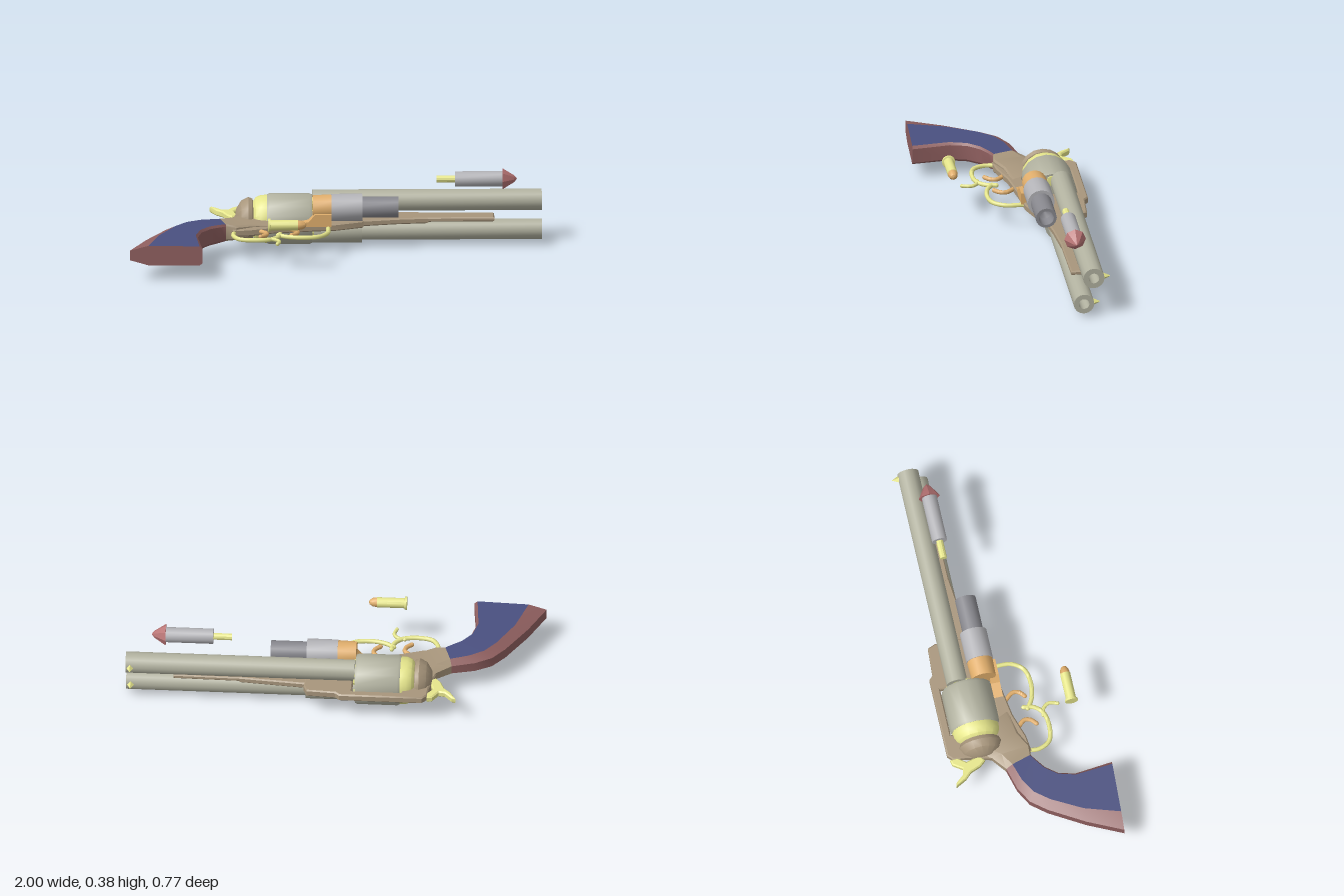
import * as THREE from 'three';
import { toCreasedNormals } from 'three/addons/utils/BufferGeometryUtils.js';

const Y = 0.127; // mid-plane of the weapon, which lies on its side
const C = {
  steel: 0xb2b2a0, brass: 0xe6e68c, copper: 0xe0ae6c, frame: 0xa8967c, wood: 0x8f5f5f,
  panel: 0x4a5080, grey: 0xb4b4b8, dark: 0x88888e, red: 0xb87474
};
const V = (x, z, y = Y) => new THREE.Vector3(x, y, z);

export function createModel() {
  const root = new THREE.Group();

  function add(name, geo, color, crease = 0.6) {
    const mat = new THREE.MeshStandardMaterial({ color, side: THREE.DoubleSide });
    const mesh = new THREE.Mesh(toCreasedNormals(geo, crease), mat);
    mesh.name = name;
    root.add(mesh);
    return mesh;
  }

  // Turned part along x: profile holds [x, radius] pairs
  function turned(name, profile, y, z, color, sides = 16) {
    const geo = new THREE.LatheGeometry(profile.map(([x, r]) => new THREE.Vector2(r, x)), sides);
    geo.rotateZ(-Math.PI / 2);
    geo.translate(0, y, z);
    return add(name, geo, color);
  }

  // Flat part outlined in x/z, thickened about height y
  function plate(name, pts, thick, color, y = Y, holes = []) {
    const shape = new THREE.Shape(pts.map(p => new THREE.Vector2(...p)));
    for (const h of holes) shape.holes.push(new THREE.Path(h.map(p => new THREE.Vector2(...p))));
    const bevel = Math.min(0.006, thick / 4);
    const geo = new THREE.ExtrudeGeometry(shape, {
      depth: thick - 2 * bevel, bevelThickness: bevel, bevelSize: bevel,
      bevelOffset: -bevel, bevelSegments: 1
    });
    geo.rotateX(Math.PI / 2);
    geo.translate(0, y + thick / 2 - bevel, 0);
    return add(name, geo, color);
  }

  function rod(name, pts, radius, color) {
    const curve = new THREE.CatmullRomCurve3(pts.map(p => V(...p)));
    const geo = new THREE.TubeGeometry(curve, pts.length * 5, radius, 8);
    const mesh = add(name, geo, color, 1);
    for (const p of [pts[0], pts[pts.length - 1]]) {
      const cap = new THREE.SphereGeometry(radius, 8, 6);
      cap.translate(p[0], Y, p[1]);
      add(name + 'End', cap, color, 1);
    }
    return mesh;
  }

  // Loft through sections [backX, backZ, frontX, frontZ, halfThickness]
  const ring = [[0, 0.5], [0.25, 1], [0.96, 1], [1, 0.75], [1, -0.75], [0.96, -1], [0.25, -1], [0, -0.5]];
  function loft(name, rows, strips, color, capped) {
    const pos = [];
    const at = (i, j) => {
      const [bx, bz, fx, fz, h] = rows[i], [t, k] = ring[j % 8];
      return [bx + (fx - bx) * t, Y + k * h, bz + (fz - bz) * t];
    };
    for (let i = 0; i < rows.length - 1; i++) for (const j of strips) {
      const a = at(i, j), b = at(i, j + 1), c = at(i + 1, j + 1), d = at(i + 1, j);
      pos.push(...a, ...b, ...c, ...a, ...c, ...d);
    }
    if (capped) for (let j = 1; j < 7; j++) pos.push(...at(0, 0), ...at(0, j + 1), ...at(0, j));
    const geo = new THREE.BufferGeometry();
    geo.setAttribute('position', new THREE.Float32BufferAttribute(pos, 3));
    geo.computeVertexNormals();
    return add(name, geo, color, 0.5);
  }

  // Grip with coloured side panels, and the neck that carries it into the frame
  const gripRows = [
    [-1, 0.37, -0.65, 0.385, 0.049], [-0.92, 0.2, -0.67, 0.2, 0.049],
    [-0.82, 0.03, -0.65, 0.12, 0.049], [-0.76, -0.045, -0.605, 0.062, 0.048],
    [-0.68, -0.09, -0.56, 0.03, 0.046], [-0.57, -0.12, -0.53, 0.01, 0.042]
  ];
  loft('grip', gripRows, [0, 2, 3, 4, 6, 7], C.wood, true);
  loft('gripPanels', gripRows, [1, 5], C.panel, false);
  loft('frameNeck', [gripRows[5], [-0.5, -0.175, -0.48, 0.015, 0.036],
    [-0.45, -0.26, -0.4, -0.025, 0.03], [-0.4, -0.3, -0.28, -0.05, 0.022]],
    [0, 1, 2, 3, 4, 5, 6, 7], C.frame, false);

  // Frame with a window around the cylinder, and the long rail between the barrels
  plate('frame', [
    [-0.5, -0.175], [-0.47, -0.3], [-0.465, -0.36], [-0.44, -0.385], [-0.04, -0.385],
    [-0.02, -0.365], [0.12, -0.357], [0.135, -0.32], [0.135, -0.12], [0.0, -0.07],
    [-0.1, -0.062], [-0.3, -0.03], [-0.42, 0.01], [-0.5, 0.02]
  ], 0.036, C.frame, Y, [[[-0.34, -0.345], [-0.34, -0.1], [-0.1, -0.1], [-0.1, -0.345]]]);
  plate('rail', [[0.1, -0.3], [0.1, -0.13], [0.3, -0.165], [0.45, -0.18], [0.45, -0.27]], 0.03, C.frame);
  plate('railTip', [[0.4, -0.27], [0.4, -0.18], [0.77, -0.185], [0.77, -0.265]], 0.022, C.frame, 0.13);
  turned('recoilShield', [[-0.485, 0], [-0.48, 0.05], [-0.455, 0.09], [-0.42, 0.108], [-0.4, 0.1], [-0.38, 0]],
    Y, -0.215, C.frame);

  // Cylinder, brass collar and chambered rounds
  turned('cylinder', [[-0.33, 0], [-0.33, 0.118], [-0.318, 0.124], [-0.125, 0.124], [-0.112, 0.118], [-0.112, 0]],
    Y, -0.22, C.steel);
  turned('collar', [[-0.41, 0], [-0.405, 0.075], [-0.385, 0.105], [-0.36, 0.116], [-0.33, 0.117], [-0.33, 0]],
    Y, -0.22, C.brass);
  for (let i = 0; i < 6; i++) {
    const a = i * Math.PI / 3 + 0.5;
    turned('chamberRound', [[-0.14, 0], [-0.14, 0.026], [-0.105, 0.026], [-0.102, 0]],
      Y + 0.083 * Math.sin(a), -0.22 + 0.083 * Math.cos(a), C.brass, 10);
  }

  // Two hollow barrels with pointed front sights
  for (const [name, y, z, r] of [['upperBarrel', 0.207, -0.263, 0.052], ['lowerBarrel', 0.073, -0.215, 0.05]]) {
    turned(name, [[-0.11, 0.026], [-0.11, r], [1, r], [1, 0.026], [-0.11, 0.026]], y, z, C.steel);
    turned(name + 'Breech', [[-0.1, 0], [-0.1, 0.027], [-0.09, 0.027], [-0.088, 0]], y, z, C.brass, 12);
    const sight = new THREE.ConeGeometry(0.021, 0.042, 4);
    sight.rotateX(-Math.PI / 2);
    sight.translate(0.978, y, z - r - 0.012);
    add(name + 'Sight', sight, C.brass, 0.2);
  }
  turned('lowerBarrelSleeve', [[-0.115, 0], [-0.115, 0.063], [0.13, 0.063], [0.13, 0.048]], 0.073, -0.215, C.steel, 14);

  // Lamp: copper mount, body, open nose and bracket
  const ly = 0.211, lz = -0.131;
  turned('lampMount', [[-0.11, 0], [-0.11, 0.06], [-0.02, 0.063], [-0.02, 0]], ly, lz, C.copper);
  turned('lampBody', [[-0.02, 0], [-0.02, 0.066], [0.13, 0.066], [0.13, 0.04]], ly, lz, C.grey);
  turned('lampNose', [[0.13, 0.051], [0.305, 0.051], [0.305, 0.037], [0.24, 0.033], [0.22, 0]], ly, lz, C.dark);
  const bracket = new THREE.Shape([[-0.2, 0.135], [-0.02, 0.135], [-0.02, 0.195], [-0.1, 0.195], [-0.13, 0.16], [-0.2, 0.145]]
    .map(p => new THREE.Vector2(...p)));
  const bracketGeo = new THREE.ExtrudeGeometry(bracket, { depth: 0.045, bevelEnabled: false });
  bracketGeo.translate(0, 0, -0.1);
  add('lampBracket', bracketGeo, C.copper);

  // Double trigger guard with curled finger rest, and two triggers
  rod('rearGuard', [[-0.49, 0], [-0.495, 0.06], [-0.465, 0.115], [-0.4, 0.132], [-0.32, 0.12], [-0.28, 0.08], [-0.27, 0.03]],
    0.011, C.brass);
  rod('frontGuard', [[-0.28, 0.05], [-0.23, 0.08], [-0.15, 0.092], [-0.08, 0.075], [-0.04, 0.02], [-0.035, -0.07]],
    0.011, C.brass);
  rod('fingerRest', [[-0.33, 0.115], [-0.295, 0.125], [-0.275, 0.155], [-0.285, 0.197]], 0.009, C.brass);
  rod('rearTrigger', [[-0.37, -0.02], [-0.335, 0.02], [-0.34, 0.05], [-0.365, 0.075]], 0.011, C.copper);
  rod('frontTrigger', [[-0.22, -0.05], [-0.185, -0.005], [-0.19, 0.025], [-0.215, 0.05]], 0.011, C.copper);

  // Hammer with forked spur
  plate('hammer', [
    [-0.605, -0.375], [-0.585, -0.37], [-0.55, -0.33], [-0.52, -0.325], [-0.49, -0.37], [-0.465, -0.375],
    [-0.46, -0.34], [-0.49, -0.3], [-0.47, -0.23], [-0.5, -0.21], [-0.525, -0.24], [-0.545, -0.29], [-0.575, -0.32]
  ], 0.032, C.brass);

  // Loose round
  turned('looseCasing', [[-0.33, 0], [-0.33, 0.032], [-0.32, 0.032], [-0.318, 0.025], [-0.185, 0.025], [-0.185, 0]],
    0.242, 0.256, C.brass);
  turned('looseBullet', [[-0.185, 0.024], [-0.165, 0.021], [-0.15, 0.012], [-0.145, 0]], 0.242, 0.256, C.copper);

  // Loose rocket
  const ry = 0.332, rz = -0.198;
  turned('rocketTail', [[0.49, 0], [0.49, 0.017], [0.58, 0.017]], ry, rz, C.brass, 10);
  turned('rocketBody', [[0.58, 0], [0.58, 0.037], [0.81, 0.037], [0.81, 0]], ry, rz, C.grey, 14);
  turned('rocketHead', [[0.81, 0], [0.81, 0.053], [0.865, 0.018], [0.88, 0]], ry, rz, C.red, 8);

  return root;
}
